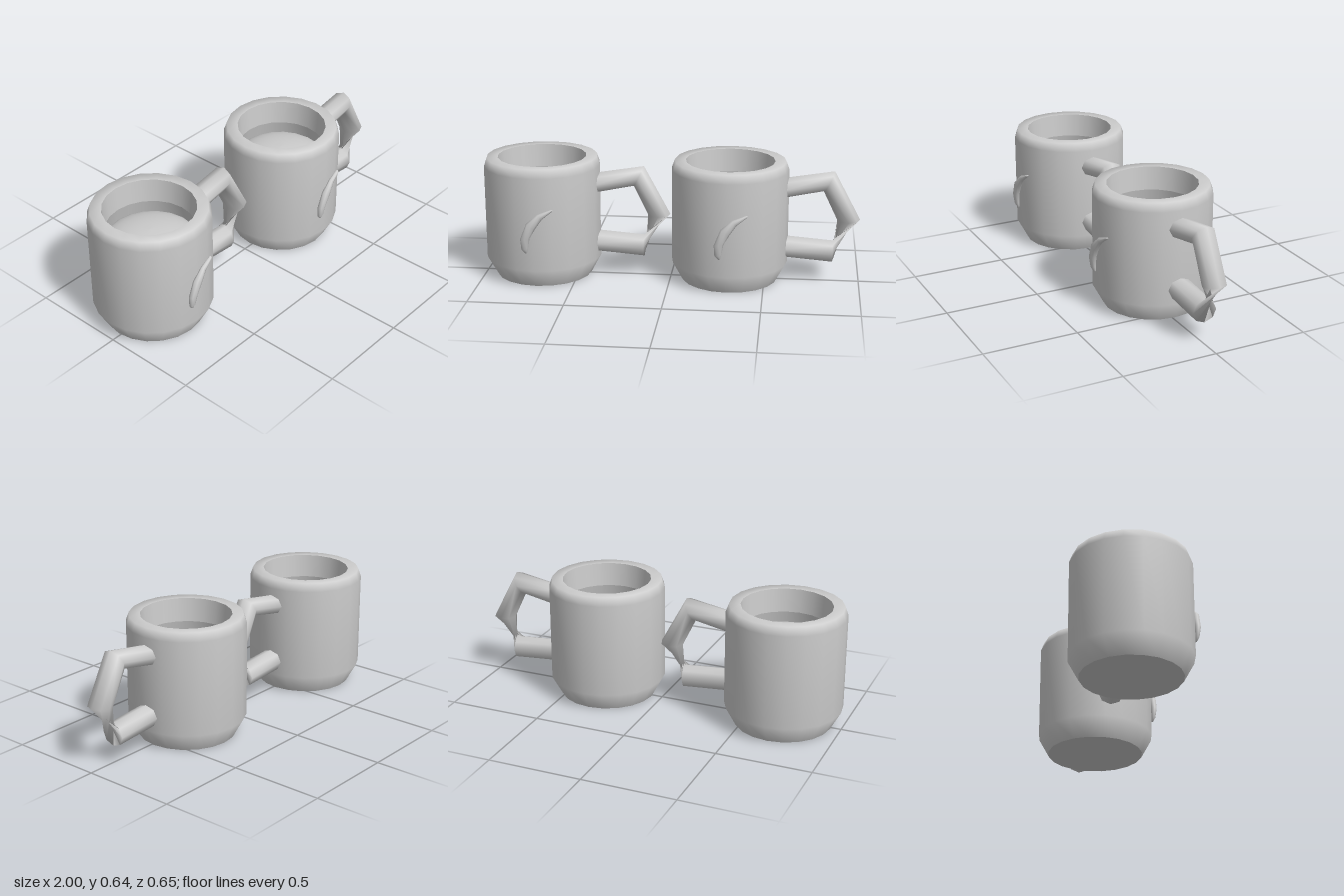
import * as THREE from 'three';

const SIDES = 20;

// Lathe from [radius, height] pairs, ordered from outside bottom to inside
function lathe(name, pairs, material) {
  const points = pairs.map(([r, y]) => new THREE.Vector2(r, y));
  const mesh = new THREE.Mesh(new THREE.LatheGeometry(points, SIDES), material);
  mesh.name = name;
  return mesh;
}

// Loft through elliptical rings: [ax, ay, bx, by, zCentre, zHalf]
// a and b are opposite ends of one ring axis; zHalf is the other half axis
function loft(name, rings, sides, material) {
  const pos = [], index = [];
  for (const [ax, ay, bx, by, zc, hz] of rings) {
    for (let j = 0; j < sides; j++) {
      const t = (j / sides) * Math.PI * 2, c = Math.cos(t) / 2;
      pos.push((ax + bx) / 2 + c * (ax - bx), (ay + by) / 2 + c * (ay - by), zc + hz * Math.sin(t));
    }
  }
  for (let i = 0; i < rings.length - 1; i++) {
    for (let j = 0; j < sides; j++) {
      const k = (j + 1) % sides;
      const a = i * sides + j, b = i * sides + k, c = a + sides, d = b + sides;
      index.push(a, b, c, b, d, c);
    }
  }
  const geo = new THREE.BufferGeometry();
  geo.setAttribute('position', new THREE.Float32BufferAttribute(pos, 3));
  geo.setIndex(index);
  geo.computeVertexNormals();
  const mesh = new THREE.Mesh(geo, material);
  mesh.name = name;
  return mesh;
}

function createMug(material) {
  const mug = new THREE.Group();
  mug.name = 'mug';

  // Body: flat base, chamfered wall, thick rim and inner wall
  mug.add(lathe('base', [[0, 0], [0.255, 0]], material));
  mug.add(lathe('outerWall', [[0.255, 0], [0.309, 0.1], [0.309, 0.6], [0.293, 0.645], [0.235, 0.645]], material));
  mug.add(lathe('innerWall', [[0.235, 0.645], [0.226, 0.52]], material));
  mug.add(lathe('innerLowerWall', [[0.226, 0.52], [0.25, 0.42]], material));

  // Domed drink surface inside the mug
  const dome = [];
  for (let i = 0; i <= 8; i++) {
    const t = (i / 8) * Math.PI / 2;
    dome.push([0.25 * Math.cos(t), 0.42 + 0.09 * Math.sin(t)]);
  }
  mug.add(lathe('drink', dome, material));

  // Handle: angular tube that twists half a turn before the lower arm
  mug.add(loft('handle', [
    [0.27, 0.555, 0.27, 0.445, 0, 0.065],
    [0.545, 0.6, 0.49, 0.49, 0, 0.065],
    [0.685, 0.34, 0.565, 0.335, 0, 0.065],
    [0.545, 0.22, 0.545, 0.1, 0, -0.065],
    [0.27, 0.242, 0.27, 0.122, 0, -0.065],
  ], 8, material));

  // Raised crescent on the front
  mug.add(loft('crescent', [
    [0.108, 0.435, 0.108, 0.435, 0.305, 0],
    [0.1, 0.439, 0.102, 0.427, 0.308, -0.01],
    [0.03, 0.414, 0.052, 0.388, 0.316, -0.013],
    [-0.03, 0.365, 0.015, 0.335, 0.321, -0.019],
    [-0.064, 0.28, -0.014, 0.285, 0.32, -0.018],
    [-0.06, 0.22, -0.024, 0.23, 0.315, -0.013],
    [-0.042, 0.2, -0.03, 0.205, 0.31, -0.006],
    [-0.036, 0.199, -0.036, 0.199, 0.31, 0],
  ], 8, material));
  return mug;
}

export function createModel() {
  const model = new THREE.Group();
  model.name = 'mugPair';
  const grey = new THREE.MeshStandardMaterial({ color: 0xcccccc, side: THREE.DoubleSide });
  grey.name = 'lightGrey';

  // Two identical mugs side by side
  for (const x of [-0.69, 0.312]) {
    const mug = createMug(grey);
    mug.position.set(x, 0, -0.015);
    model.add(mug);
  }
  return model;
}
